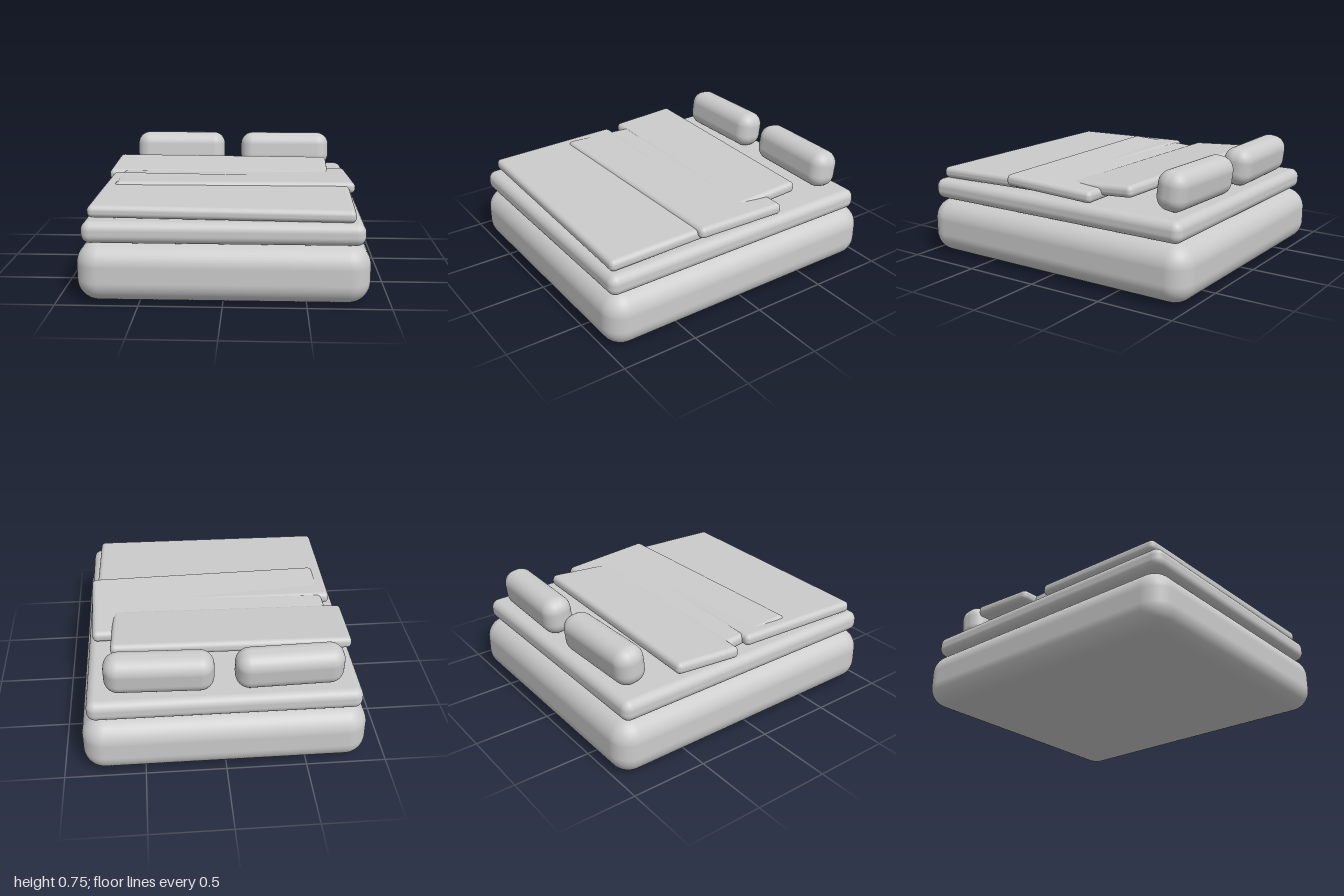
import * as THREE from 'three';
import { RoundedBoxGeometry } from 'three/addons/geometries/RoundedBoxGeometry.js';

const material = new THREE.MeshStandardMaterial({ color: 0xcccccc });

// A soft-edged slab: size, corner radius, centre and tilt
function softBox(name, [w, h, d], radius, position, rotation = [0, 0, 0]) {
  const mesh = new THREE.Mesh(new RoundedBoxGeometry(w, h, d, 6, radius), material);
  mesh.name = name;
  mesh.position.set(...position);
  mesh.rotation.set(...rotation);
  return mesh;
}

export function createModel() {
  const bed = new THREE.Group();
  bed.name = 'bed';

  // Base and mattress
  bed.add(softBox('base', [1.76, 0.365, 2], 0.135, [0, 0.1825, 0]));
  bed.add(softBox('mattress', [1.68, 0.135, 1.91], 0.055, [0, 0.4325, 0.015]));

  // Rumpled blanket: three overlapping slabs, each slightly turned
  bed.add(softBox('blanketFront', [1.59, 0.075, 0.9], 0.032, [-0.005, 0.552, 0.47], [0.025, -0.019, -0.006]));
  bed.add(softBox('blanketMiddle', [1.56, 0.075, 0.645], 0.032, [0.042, 0.56, 0.037], [-0.05, 0.03, 0]));
  bed.add(softBox('blanketBack', [1.525, 0.075, 0.46], 0.032, [-0.075, 0.571, -0.31], [0.07, -0.025, 0]));

  // Pair of pillows leaning back
  for (const side of [-1, 1]) {
    bed.add(softBox(side > 0 ? 'leftPillow' : 'rightPillow', [0.665, 0.25, 0.2], 0.088,
      [side * 0.395, 0.627, -0.793], [-0.12, side * -0.025, 0]));
  }
  return bed;
}
